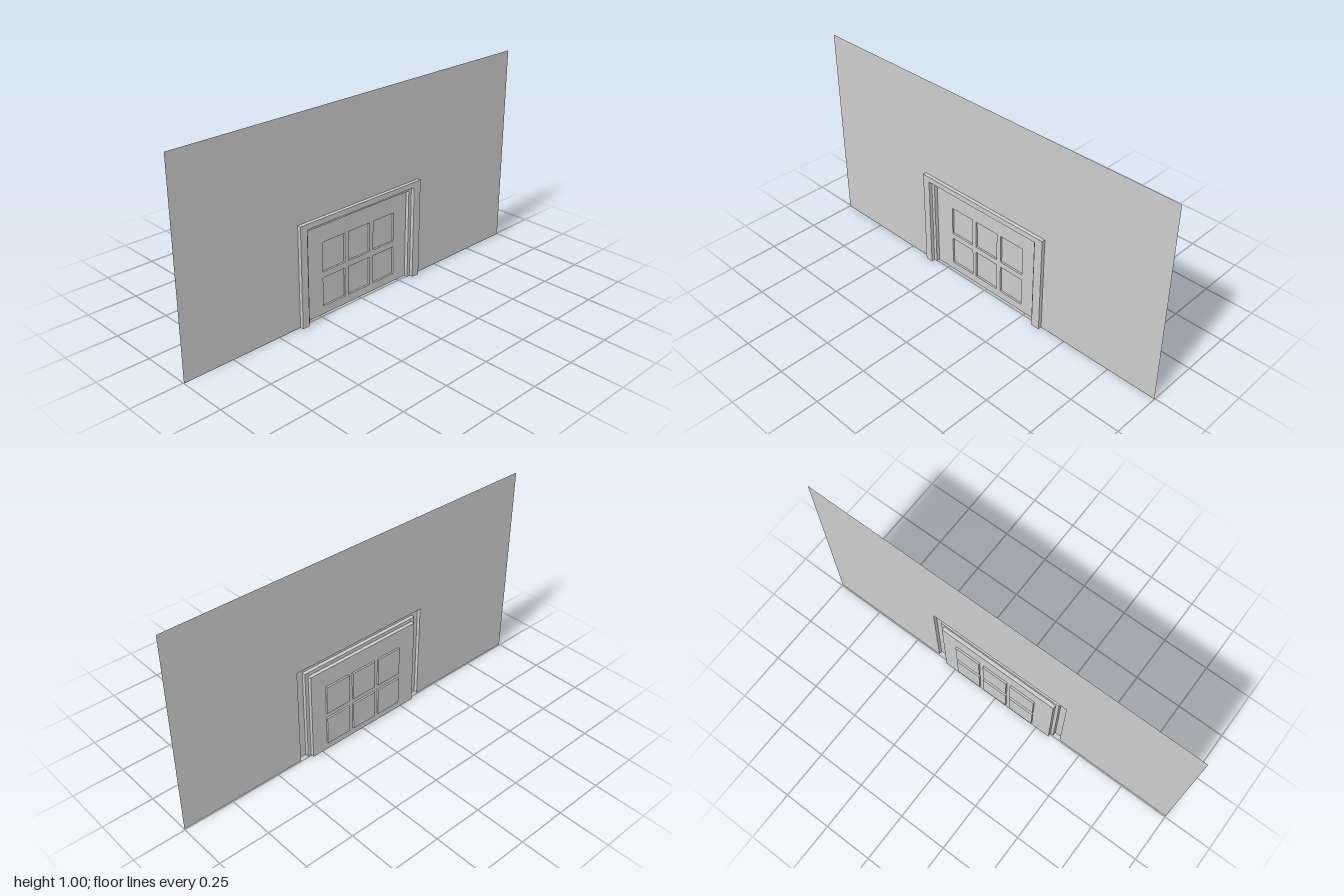
import * as THREE from 'three';

// Depths of the folded sheet, front to back
const Z_FRAME = 0.0225, Z_WALL = 0.0045, Z_DOOR = -0.0135, Z_PANEL = -0.0225;

const material = new THREE.MeshStandardMaterial({
  color: 0xcccccc, side: THREE.DoubleSide, flatShading: true,
});

// Rectangle as corner points: up the left, across the top, down the right
const rect = (x0, x1, y0, y1) => [[x0, y0], [x0, y1], [x1, y1], [x1, y0]];
const toVectors = (pts) => pts.map(([x, y]) => new THREE.Vector2(x, y));

function add(group, geometry, name) {
  const mesh = new THREE.Mesh(geometry, material);
  mesh.name = name;
  group.add(mesh);
}

// Flat face at depth z, with optional holes
function sheet(group, name, outline, z, holes = []) {
  const shape = new THREE.Shape(toVectors(outline));
  holes.forEach((h) => shape.holes.push(new THREE.Path(toVectors(h))));
  add(group, new THREE.ShapeGeometry(shape).translate(0, 0, z), name);
}

// Strip of side faces joining depth z0 to z1 along an outline
function reveal(group, name, pts, z0, z1, closed = false) {
  const path = closed ? [...pts, pts[0]] : pts;
  const pos = [];
  for (let i = 0; i + 1 < path.length; i++) {
    const [ax, ay] = path[i], [bx, by] = path[i + 1];
    pos.push(ax, ay, z0, bx, by, z0, bx, by, z1, ax, ay, z0, bx, by, z1, ax, ay, z1);
  }
  const geometry = new THREE.BufferGeometry();
  geometry.setAttribute('position', new THREE.Float32BufferAttribute(pos, 3));
  geometry.computeVertexNormals();
  add(group, geometry, name);
}

// Three-sided surround: outer arch out, inner arch back
const surround = (outer, inner) => [...outer, ...[...inner].reverse()];

export function createModel() {
  const model = new THREE.Group();
  model.name = 'wallWithDoor';

  const wall = rect(-1, 1, 0, 1);
  const frameOuter = rect(-0.38, 0.365, 0, 0.5);
  const frameInner = rect(-0.342, 0.322, 0, 0.473);
  const opening = rect(-0.325, 0.305, 0, 0.455);

  // Wall around the door frame
  sheet(model, 'wall', surround(wall, frameOuter), Z_WALL);

  // Raised frame and the stop inside it
  const frame = new THREE.Group();
  frame.name = 'doorFrame';
  reveal(frame, 'frameOuterSide', frameOuter, Z_WALL, Z_FRAME);
  sheet(frame, 'frameFace', surround(frameOuter, frameInner), Z_FRAME);
  reveal(frame, 'frameInnerSide', frameInner, Z_FRAME, Z_WALL);
  sheet(frame, 'doorStop', surround(frameInner, opening), Z_WALL);
  reveal(frame, 'doorReveal', opening, Z_WALL, Z_DOOR);
  model.add(frame);

  // Door with six sunken panels
  const door = new THREE.Group();
  door.name = 'door';
  const panels = [];
  for (const [y0, y1] of [[0.04, 0.185], [0.215, 0.362]]) {
    for (const x of [-0.158, -0.002, 0.156]) panels.push(rect(x - 0.067, x + 0.067, y0, y1));
  }
  sheet(door, 'doorLeaf', opening, Z_DOOR, panels);
  panels.forEach((p, i) => {
    reveal(door, `panelSide${i + 1}`, p, Z_DOOR, Z_PANEL, true);
    sheet(door, `panel${i + 1}`, p, Z_PANEL);
  });
  model.add(door);

  return model;
}
